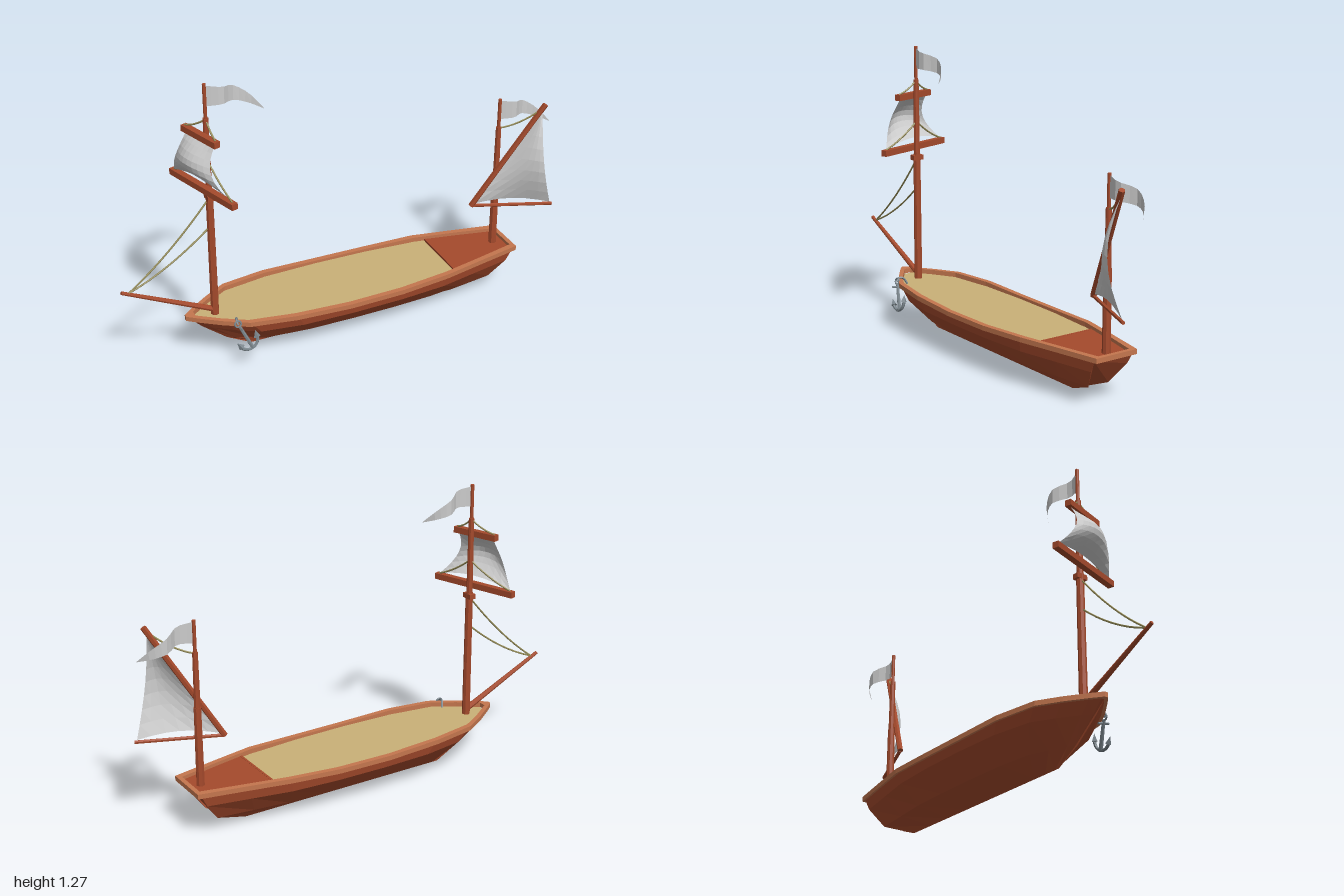
import * as THREE from 'three';

const mat = (color, side = THREE.FrontSide) => new THREE.MeshStandardMaterial({ color, side, flatShading: true });
const wood = mat(0xa54a2c), trim = mat(0xc4764e), plank = mat(0xc9b077);
const rope = mat(0x958c58), iron = mat(0x7a858c), cloth = mat(0xcccccc, THREE.DoubleSide);
const V = (x, y, z) => new THREE.Vector3(x, y, z);
const UP = V(0, 1, 0);

export function createModel() {
  const ship = new THREE.Group();
  ship.name = 'sailingBarge';

  const add = (name, geometry, material, parent = ship) => {
    const m = new THREE.Mesh(geometry, material);
    m.name = name;
    parent.add(m);
    return m;
  };

  // Skin over rows of points; caps close the first and last row
  const loft = (rows, caps = false) => {
    const n = rows[0].length, idx = [];
    for (let i = 0; i < rows.length - 1; i++)
      for (let j = 0; j < n - 1; j++) {
        const a = i * n + j;
        idx.push(a, a + 1, a + n + 1, a, a + n + 1, a + n);
      }
    if (caps) {
      const e = (rows.length - 1) * n;
      for (let j = 1; j < n - 1; j++) idx.push(0, j + 1, j, e, e + j, e + j + 1);
    }
    const g = new THREE.BufferGeometry().setFromPoints(rows.flat());
    g.setIndex(idx);
    g.computeVertexNormals();
    return g;
  };

  // Surface from a function of u and v in 0..1
  const surface = (nu, nv, f) => loft(Array.from({ length: nu + 1 }, (_, i) =>
    Array.from({ length: nv + 1 }, (_, j) => f(i / nu, j / nv))));

  // Round spar between two points
  const spar = (name, a, b, r0, r1 = r0, sides = 8) => {
    const d = b.clone().sub(a);
    const m = add(name, new THREE.CylinderGeometry(r1, r0, d.length(), sides), wood);
    m.position.copy(a).addScaledVector(d, 0.5);
    m.quaternion.setFromUnitVectors(UP, d.normalize());
    return m;
  };

  // Rope with a slight sag
  const line = (name, a, b, sag = 0.02) => {
    const mid = a.clone().lerp(b, 0.5).add(V(0, -sag * 2, 0));
    add(name, new THREE.TubeGeometry(new THREE.QuadraticBezierCurve3(a, mid, b), 8, 0.004, 5), rope);
  };

  // Deck outline: x and half width, bow to stern
  const outline = [[-0.73, 0.008], [-0.69, 0.04], [-0.6, 0.105], [-0.5, 0.165], [-0.3, 0.198], [-0.05, 0.205],
    [0.2, 0.2], [0.43, 0.182], [0.62, 0.143], [0.82, 0.102]];
  const sheer = (x) => 0.229 - 0.011 * Math.max(0, 1 - ((x - 0.05) / 0.4) ** 2);

  // Hull: each level has its own length, width factor and height
  const levels = [[-0.71, 0.8, 0.96, 0.21], [-0.66, 0.775, 0.91, 0.16], [-0.55, 0.71, 0.5, 0.07], [-0.44, 0.55, 0, 0.008]];
  const hullRows = outline.map(([x, w]) => {
    const t = (x + 0.73) / 1.55;
    const half = levels.map(([x0, x1, k, y]) => V(x0 + (x1 - x0) * t, y, w * k));
    return [...half, ...half.slice(0, 3).reverse().map((p) => V(p.x, p.y, -p.z))];
  });
  add('hull', loft(hullRows, true), wood);

  // Gunwale: rectangular section swept round the outline
  const inset = ([x, w]) => [THREE.MathUtils.clamp(x, -0.69, 0.8), Math.max(w - 0.024, 0.001)];
  const section = (p, s) => {
    const [x, w] = p, [ix, iw] = inset(p), y = sheer(x);
    return [V(x, y, s * w), V(x, y - 0.021, s * w), V(ix, y - 0.021, s * iw), V(ix, y, s * iw), V(x, y, s * w)];
  };
  const loop = [...outline.map((p) => section(p, 1)), ...[...outline].reverse().map((p) => section(p, -1))];
  loop.push(loop[0]);
  add('gunwale', loft(loop), trim);

  // Main deck and aft deck
  const deck = (name, pts, y, material) => {
    const ring = [...pts, ...[...pts].reverse().map(([x, w]) => [x, -w])];
    const g = new THREE.ShapeGeometry(new THREE.Shape(ring.map(([x, w]) => new THREE.Vector2(x, w))));
    add(name, g.rotateX(-Math.PI / 2), material).position.y = y;
  };
  const inner = outline.map(([x, w]) => inset([x, w + 0.008]));
  deck('mainDeck', [...inner.filter(([x]) => x < 0.48), [0.49, 0.155]], 0.206, plank);
  deck('aftDeck', [[0.485, 0.156], ...inner.filter(([x]) => x > 0.48)], 0.214, wood);
  const step = add('aftDeckBeam', new THREE.BoxGeometry(0.01, 0.012, 0.31), wood);
  step.position.set(0.487, 0.209, 0);

  // Masts: stout lower part, thinner upper part, flag staff
  const mast = (name, x, cuts) => {
    spar(name + 'Lower', V(x, 0.2, 0), V(x, cuts[0], 0), 0.018, 0.016);
    spar(name + 'Upper', V(x, cuts[0] - 0.03, 0), V(x, cuts[1], 0), 0.014, 0.012);
    spar(name + 'Staff', V(x, cuts[1] - 0.03, 0), V(x, cuts[2], 0), 0.008);
  };
  mast('foreMast', -0.597, [0.79, 1.13, 1.28]);
  mast('aftMast', 0.755, [0.56, 0.8, 0.935]);
  const cleat = add('foreMastCleat', new THREE.BoxGeometry(0.03, 0.022, 0.05), wood);
  cleat.position.set(-0.597, 0.775, 0);

  // Wavy pennants on both staffs
  const pennant = (name, x, y) => {
    const top = new THREE.CatmullRomCurve3([V(0, 0, 0), V(0.065, -0.012, 0.016), V(0.13, -0.035, -0.027), V(0.19, -0.075, -0.01), V(0.235, -0.13, 0.036)]);
    const low = new THREE.CatmullRomCurve3([V(0, -0.09, 0), V(0.065, -0.088, 0.016), V(0.13, -0.1, -0.027), V(0.185, -0.115, -0.01), V(0.235, -0.132, 0.036)]);
    const g = surface(10, 1, (u, v) => top.getPoint(u).lerp(low.getPoint(u), v));
    add(name, g, cloth).position.set(x, y, 0);
  };
  pennant('forePennant', -0.597, 1.272);
  pennant('aftPennant', 0.757, 0.928);

  // Fore yards, braced round at an angle
  const along = V(0.3, 0, 0.954), forward = V(-0.954, 0, 0.3);
  const yardPoint = (s, y, out = 0) => V(-0.623, y, 0).addScaledVector(along, s).addScaledVector(forward, out);
  for (const [name, y, half] of [['upperYard', 1.057, 0.109], ['lowerYard', 0.82, 0.207]]) {
    const m = add(name, new THREE.BoxGeometry(0.028, 0.027, half * 2), wood);
    m.position.copy(yardPoint(0, y));
    m.rotation.y = Math.atan2(along.x, along.z);
  }

  // Billowing square sail
  add('squareSail', surface(8, 8, (t, v) => {
    const s = v * 2 - 1, round = 1 - s * s;
    const half = 0.092 + 0.1 * (1 - t) ** 2;
    return yardPoint(s * half, 0.832 + 0.215 * t + 0.03 * (1 - t) * round, Math.sin(Math.PI * t) * (0.042 + 0.034 * round));
  }), cloth);

  // Yard lifts
  for (const s of [-1, 1]) {
    line('upperLift', yardPoint(s * 0.1, 1.07), V(-0.597, 1.125, 0), 0.008);
    line('lowerLift', yardPoint(s * 0.192, 0.833), V(-0.597, 0.94, 0), 0.01);
  }

  // Bowsprit and stays
  spar('bowsprit', V(-0.997, 0.417, 0), V(-0.6, 0.228, 0), 0.008, 0.013);
  for (const y of [0.76, 0.63]) line('forestay', V(-0.965, 0.407, 0), V(-0.605, y, 0), 0.022);

  // Aft gaff, boom and triangular sail
  const tack = V(0.655, 0.428, -0.016), clew = V(0.975, 0.428, 0.112), head = V(0.922, 0.885, 0.083);
  spar('gaff', V(0.646, 0.418, -0.02), V(0.932, 0.912, 0.088), 0.013, 0.013, 6);
  spar('boom', V(0.65, 0.419, -0.018), V(0.985, 0.419, 0.115), 0.008, 0.008, 6);
  add('aftSail', surface(8, 6, (t, s) => {
    const p = tack.clone().lerp(head, t).lerp(clew.clone().lerp(head, t), s);
    const belly = Math.sin(Math.PI * t);
    p.x -= 0.035 * s * belly;
    p.y += 0.025 * Math.sin(Math.PI * s) * (1 - t);
    p.z += 0.05 * belly * Math.sin(s * Math.PI * 0.7);
    return p;
  }), cloth);
  line('gaffLift', V(0.757, 0.795, 0), V(0.9, 0.875, 0.075), 0.012);

  // Anchor hung over the left bow
  const anchor = new THREE.Group();
  anchor.name = 'anchor';
  anchor.position.set(-0.52, 0.16, 0.158);
  anchor.rotation.set(-0.2, 0, 0.42);
  ship.add(anchor);
  add('anchorShank', new THREE.CylinderGeometry(0.007, 0.009, 0.12, 6), iron, anchor);
  const stock = add('anchorStock', new THREE.CylinderGeometry(0.005, 0.005, 0.055, 6), iron, anchor);
  stock.rotation.x = Math.PI / 2;
  stock.position.y = 0.045;
  add('anchorRing', new THREE.TorusGeometry(0.014, 0.004, 6, 12), iron, anchor).position.y = 0.072;
  const arms = add('anchorArms', new THREE.TorusGeometry(0.043, 0.007, 6, 12, Math.PI * 0.9), iron, anchor);
  arms.rotation.z = Math.PI * 1.05;
  arms.position.y = -0.018;
  for (const s of [-1, 1]) {
    const fluke = add('anchorFluke', new THREE.ConeGeometry(0.015, 0.032, 4), iron, anchor);
    fluke.position.set(s * 0.043, -0.015, 0);
    fluke.rotation.z = -s * 0.25;
  }
  add('anchorRope', new THREE.TubeGeometry(new THREE.CatmullRomCurve3([
    V(-0.55, 0.222, 0.148), V(-0.552, 0.238, 0.135), V(-0.545, 0.236, 0.115), V(-0.535, 0.21, 0.1)]), 10, 0.005, 5), iron);

  return ship;
}
